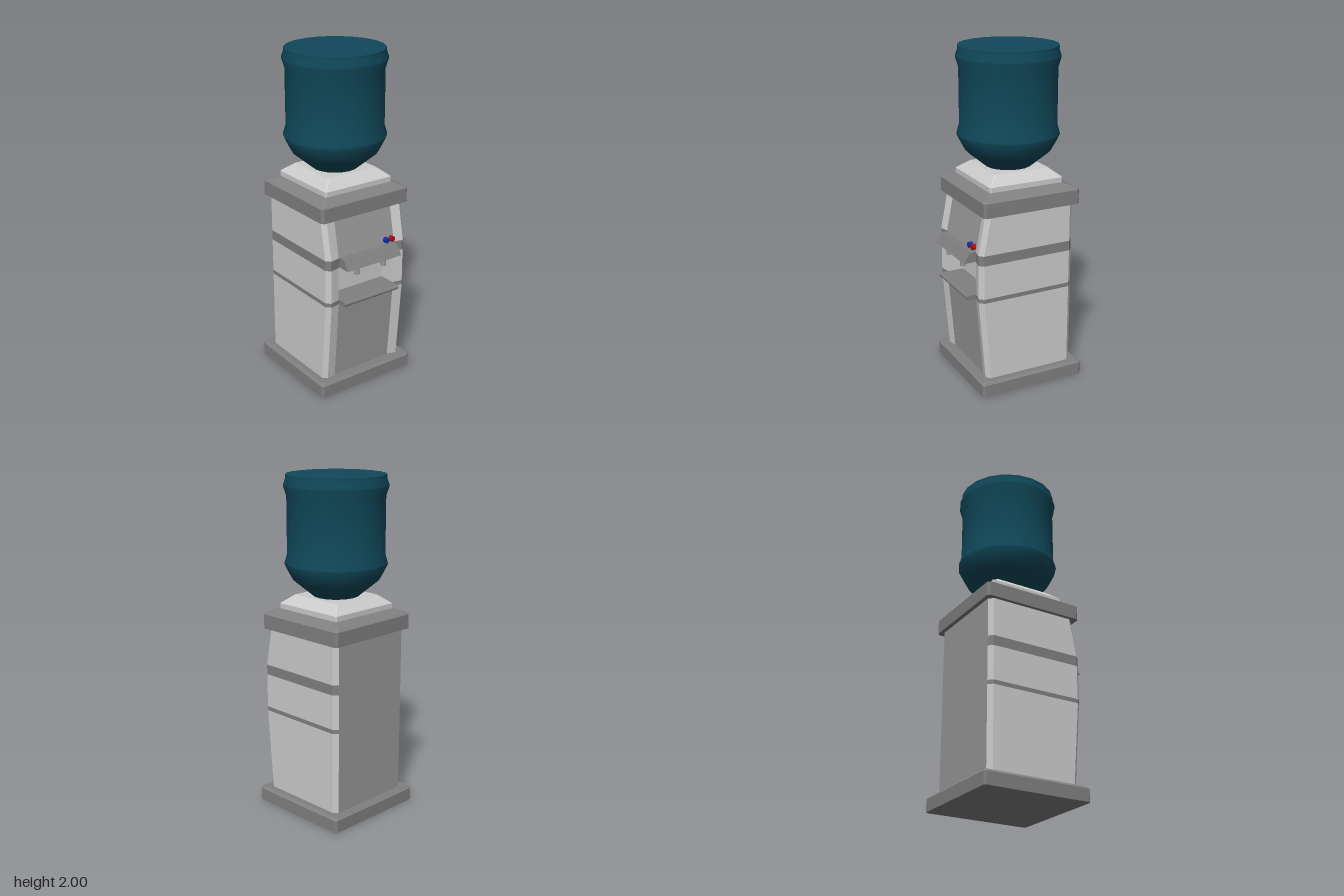
import * as THREE from 'three';
import { toCreasedNormals } from 'three/addons/utils/BufferGeometryUtils.js';

const mat = (color) => new THREE.MeshStandardMaterial({ color });
const light = mat(0xcccccc), mid = mat(0x999999), dark = mat(0x808080);
const teal = mat(0x10495a), red = mat(0xb01010), blue = mat(0x1030b0);

function add(parent, name, geometry, material, x = 0, y = 0, z = 0) {
  const mesh = new THREE.Mesh(geometry, material);
  mesh.name = name;
  mesh.position.set(x, y, z);
  parent.add(mesh);
  return mesh;
}

// Stacked rectangles with cut corners; each level is [y, xMin, xMax, zHalf, cornerCut]
function loft(levels) {
  const rings = levels.map(([y, a, b, z, c]) => [
    [a + c, z], [b - c, z], [b, z - c], [b, c - z],
    [b - c, -z], [a + c, -z], [a, c - z], [a, z - c],
  ].map(([px, pz]) => [px, y, pz]));
  const pos = [];
  const tri = (...points) => points.forEach((p) => pos.push(...p));
  for (let r = 0; r < rings.length - 1; r++) {
    const lo = rings[r], hi = rings[r + 1];
    for (let i = 0; i < 8; i++) {
      const j = (i + 1) % 8;
      tri(lo[i], lo[j], hi[j]);
      tri(lo[i], hi[j], hi[i]);
    }
  }
  const first = rings[0], last = rings[rings.length - 1];
  for (let i = 1; i < 7; i++) {
    tri(first[0], first[i + 1], first[i]);
    tri(last[0], last[i], last[i + 1]);
  }
  const g = new THREE.BufferGeometry();
  g.setAttribute('position', new THREE.Float32BufferAttribute(pos, 3));
  g.computeVertexNormals();
  return g;
}

// Front edge of the cabinet at height y: it leans out to a vertical middle
function frontX(y) {
  if (y < 0.58) return THREE.MathUtils.mapLinear(y, 0.09, 0.58, 0.255, 0.295);
  if (y > 0.87) return THREE.MathUtils.mapLinear(y, 0.87, 1.1, 0.295, 0.25);
  return 0.295;
}

// Plan outline (x, z) raised from y0 to y1, its front following the lean
function slice(outline, y0, y1) {
  const shape = new THREE.Shape(outline.map(([x, z]) => new THREE.Vector2(x, -z)));
  const g = new THREE.ExtrudeGeometry(shape, { depth: y1 - y0, bevelEnabled: false });
  g.rotateX(-Math.PI / 2).translate(0, y0, 0);
  const p = g.attributes.position;
  for (let i = 0; i < p.count; i++) {
    if (p.getX(i) > 0.22) p.setX(i, p.getX(i) + frontX(p.getY(i)) - 0.295);
  }
  g.computeVertexNormals();
  return g;
}

// Cabinet plan with cut corners and a notch of the given floor in its front
function cabinetPlan(notchX, mouthX, mouthZ) {
  const half = [[-0.31, 0.26], [-0.285, 0.285], [0.27, 0.285], [0.295, 0.26],
    [mouthX, mouthZ], [notchX, 0.197]];
  return [...half, ...half.map(([x, z]) => [x, -z]).reverse()];
}

function createModel() {
  const group = new THREE.Group();

  // Plinth, lid and bottle seat
  add(group, 'base', loft([
    [0, -0.36, 0.303, 0.332, 0.012], [0.075, -0.36, 0.303, 0.332, 0.012],
    [0.09, -0.345, 0.288, 0.317, 0.012]]), dark);
  add(group, 'lid', loft([
    [1.1, -0.337, 0.277, 0.308, 0.015], [1.185, -0.337, 0.277, 0.308, 0.015],
    [1.195, -0.325, 0.265, 0.296, 0.015], [1.22, -0.265, 0.21, 0.24, 0.01]]), dark);
  add(group, 'bottleSeat', loft([
    [1.21, -0.263, 0.207, 0.235, 0.008], [1.25, -0.263, 0.207, 0.235, 0.008],
    [1.255, -0.258, 0.202, 0.23, 0.008], [1.302, -0.2, 0.145, 0.172, 0.008]]), light);

  // Cabinet in layers: plain, thin band, dispensing alcove, wide band, plain
  const dished = cabinetPlan(0.281, 0.284, 0.21);
  const alcove = cabinetPlan(0.18, 0.281, 0.2);
  [['lowerCabinet', 0.09, 0.58, dished, light],
    ['thinBand', 0.58, 0.605, dished, dark],
    ['alcoveSurround', 0.605, 0.81, alcove, light],
    ['wideBand', 0.81, 0.87, dished, dark],
    ['upperCabinet', 0.87, 1.1, dished, light],
  ].forEach(([name, y0, y1, plan, material]) => add(group, name, slice(plan, y0, y1), material));

  // Darker panels on the front and back
  const panel = [[0.26, 0.2], [0.283, 0.2], [0.283, -0.2], [0.26, -0.2]];
  add(group, 'lowerFrontPanel', slice(panel, 0.09, 0.58), mid);
  add(group, 'upperFrontPanel', slice(panel, 0.87, 1.1), mid);
  add(group, 'backPanel', new THREE.BoxGeometry(0.01, 1.01, 0.52), mid, -0.307, 0.595, 0);

  // Sloping hood over the taps
  const hood = new THREE.Shape([[0.275, 0.81], [0.358, 0.81], [0.32, 0.868], [0.275, 0.868]]
    .map(([x, y]) => new THREE.Vector2(x, y)));
  add(group, 'hood', new THREE.ExtrudeGeometry(hood, { depth: 0.39, bevelEnabled: false }),
    dark, 0, 0, -0.198);

  // Drip tray with a rounded lip
  const tray = new THREE.Shape();
  tray.moveTo(0.2, 0.58);
  tray.lineTo(0.328, 0.58);
  tray.absarc(0.328, 0.593, 0.013, -Math.PI / 2, Math.PI / 2, false);
  tray.lineTo(0.2, 0.606);
  add(group, 'dripTray', new THREE.ExtrudeGeometry(tray,
    { depth: 0.394, bevelEnabled: false, curveSegments: 6 }), dark, 0, 0, -0.197);

  // Taps
  for (const z of [0.098, -0.098]) {
    add(group, 'tap', new THREE.CylinderGeometry(0.016, 0.016, 0.054, 12), mid, 0.317, 0.786, z);
  }

  // Hot and cold buttons
  for (const [name, z, material] of [['hotButton', -0.18, red], ['coldButton', -0.14, blue]]) {
    const button = new THREE.CylinderGeometry(0.017, 0.017, 0.03, 16).rotateZ(Math.PI / 2);
    add(group, name, button, material, 0.285, 0.897, z);
  }

  // Water bottle with two raised ribs
  const profile = [[0, 1.29], [0.135, 1.3], [0.25, 1.395], [0.275, 1.44], [0.3, 1.49], [0.3, 1.5],
    [0.285, 1.55], [0.285, 1.88], [0.302, 1.935], [0.302, 1.945], [0.29, 1.98], [0.29, 2], [0, 2]]
    .map(([r, y]) => new THREE.Vector2(r, y));
  const bottle = toCreasedNormals(new THREE.LatheGeometry(profile, 20), 0.6);
  add(group, 'waterBottle', bottle, teal, -0.028, 0, 0);

  return group;
}

export { createModel };
